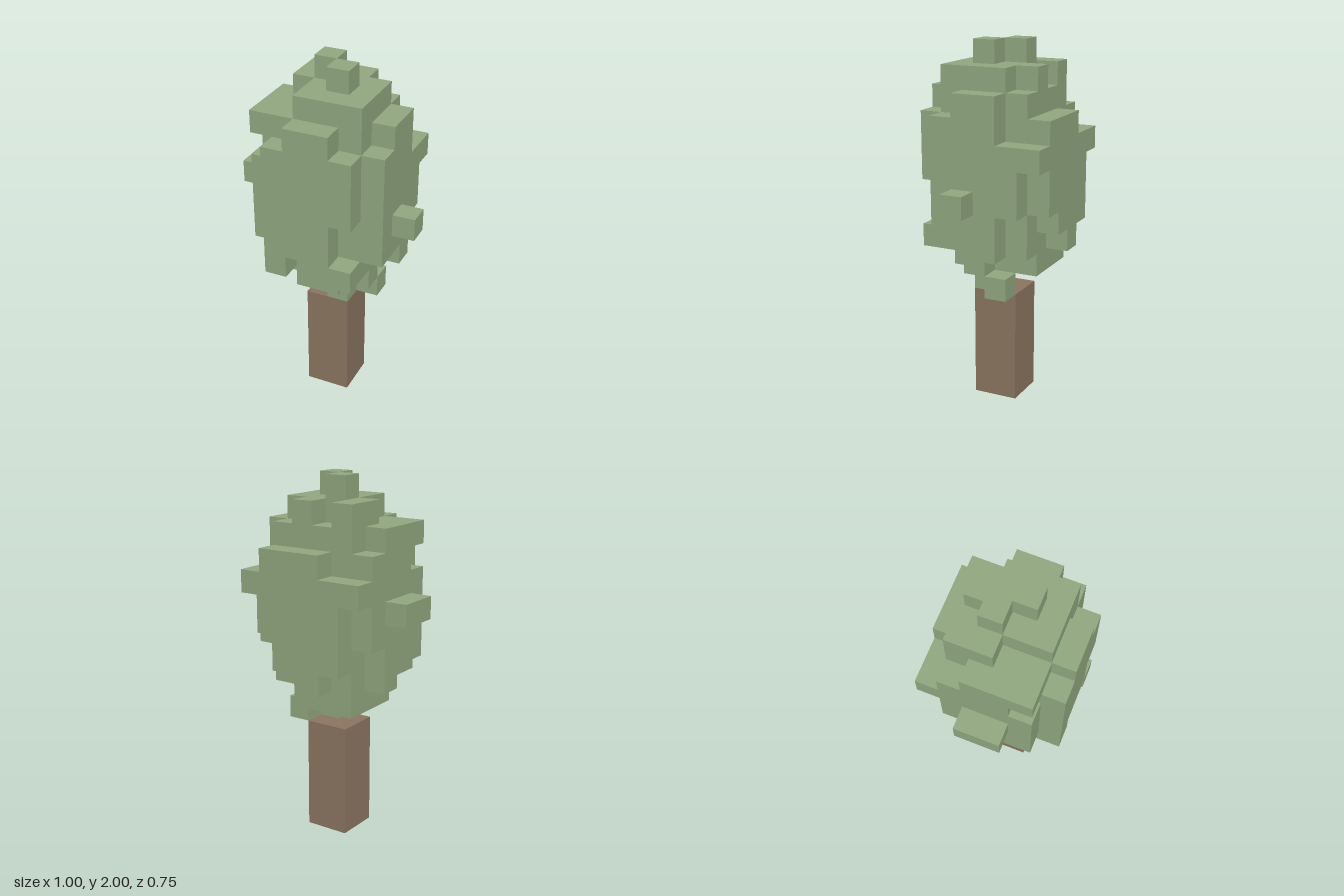
import * as THREE from 'three';

const CELL = 0.125;

// Visible sides of a block: outward direction and four corners, counter-clockwise.
// Undersides are left open.
const SIDES = [
  { n: [1, 0, 0], c: [[1, 0, 1], [1, 0, 0], [1, 1, 0], [1, 1, 1]] },
  { n: [-1, 0, 0], c: [[0, 0, 0], [0, 0, 1], [0, 1, 1], [0, 1, 0]] },
  { n: [0, 1, 0], c: [[0, 1, 1], [1, 1, 1], [1, 1, 0], [0, 1, 0]] },
  { n: [0, 0, 1], c: [[0, 0, 1], [1, 0, 1], [1, 1, 1], [0, 1, 1]] },
  { n: [0, 0, -1], c: [[1, 0, 0], [0, 0, 0], [0, 1, 0], [1, 1, 0]] },
];

// Fills boxes of cells [x0, x1, y0, y1, z0, z1] (inclusive) and skins the outside
function blockGeometry(boxes) {
  const cells = new Map();
  for (const [x0, x1, y0, y1, z0, z1] of boxes)
    for (let x = x0; x <= x1; x++)
      for (let y = y0; y <= y1; y++)
        for (let z = z0; z <= z1; z++) cells.set(`${x},${y},${z}`, [x, y, z]);

  const positions = [], normals = [], index = [];
  for (const p of cells.values()) {
    for (const { n, c } of SIDES) {
      if (cells.has(p.map((v, i) => v + n[i]).join(','))) continue;
      const first = positions.length / 3;
      for (const corner of c) {
        positions.push(...corner.map((v, i) => (v + p[i]) * CELL));
        normals.push(...n);
      }
      index.push(first, first + 1, first + 2, first, first + 2, first + 3);
    }
  }
  const geometry = new THREE.BufferGeometry();
  geometry.setAttribute('position', new THREE.Float32BufferAttribute(positions, 3));
  geometry.setAttribute('normal', new THREE.Float32BufferAttribute(normals, 3));
  geometry.setIndex(index);
  return geometry;
}

// Open-bottomed trunk
const TRUNK = [[-1, 0, 0, 4, -1, 0]];

const CORE = [[-2, 1, 7, 13, -2, 1]];

const RIGHT_SIDE = [
  [-3, -3, 8, 11, -1, 1],
  [-3, -3, 9, 12, -2, -2],
  [-3, -3, 12, 12, -1, 0],
  [-3, -3, 13, 13, -1, 1],
  [-3, -3, 7, 7, -1, -1],
  [-4, -4, 10, 10, -1, 0], // side tuft
];

const LEFT_SIDE = [
  [2, 2, 8, 12, -1, 1],
  [2, 2, 13, 13, -1, 0],
  [2, 2, 7, 7, -1, -1],
  [2, 2, 9, 11, -2, -2],
  [3, 3, 9, 9, 0, 0], // side tuft
];

const FRONT = [
  [-2, -2, 7, 12, 2, 2],
  [-1, 0, 8, 13, 2, 2],
  [1, 1, 10, 12, 2, 2],
  [1, 1, 7, 7, 2, 2],
];

const BACK = [
  [-1, -1, 7, 7, -3, -3],
  [-2, 0, 8, 8, -3, -3],
  [-2, 1, 9, 10, -3, -3],
  [-3, 2, 11, 11, -3, -3],
  [-1, 1, 12, 12, -3, -3],
];

const CROWN = [
  [-1, 1, 14, 14, -1, 1],
  [-2, -2, 14, 14, -2, -1],
  [0, 0, 14, 14, -2, -2],
  [0, 0, 15, 15, 0, 0],
  [-1, -1, 15, 15, -1, -1],
];

const UNDERSIDE = [
  [-1, 0, 6, 6, 1, 1],
  [-2, 1, 6, 6, 0, 0],
  [-2, 0, 6, 6, -2, -1],
  [0, 0, 5, 5, 0, 0],
  [1, 1, 5, 5, -1, -1],
];

export function createModel() {
  const bark = new THREE.MeshStandardMaterial({ color: 0x8b7560, side: THREE.DoubleSide });
  bark.name = 'bark brown';
  const leaf = new THREE.MeshStandardMaterial({ color: 0x90a77f, side: THREE.DoubleSide });
  leaf.name = 'leaf green';

  const trunk = new THREE.Mesh(blockGeometry(TRUNK), bark);
  trunk.name = 'trunk';

  const foliage = new THREE.Mesh(
    blockGeometry([CORE, RIGHT_SIDE, LEFT_SIDE, FRONT, BACK, CROWN, UNDERSIDE].flat()), leaf);
  foliage.name = 'foliage';

  const tree = new THREE.Group();
  tree.name = 'tree';
  tree.add(trunk, foliage);
  return tree;
}
